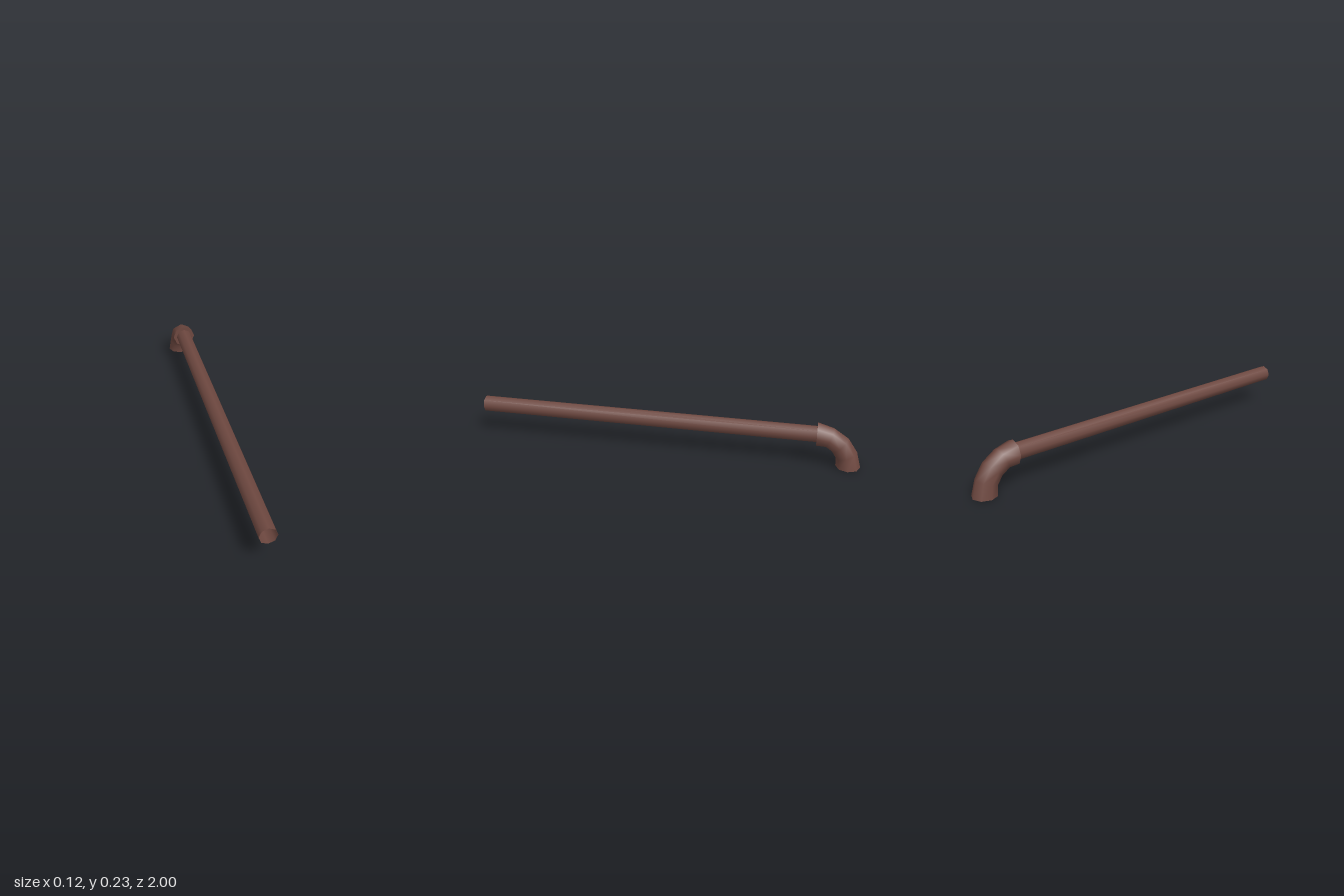
import * as THREE from 'three';

const SIDES = 8;
const BEND = { y: 0, z: -0.771, radius: 0.167 };

// Octagonal tube swept through a quarter turn, one radius per ring
function elbowGeometry(radii) {
  const pos = [], index = [];
  radii.forEach((r, i) => {
    const t = (i / (radii.length - 1)) * Math.PI / 2;
    for (let k = 0; k < SIDES; k++) {
      const a = (k / SIDES) * Math.PI * 2;
      const d = BEND.radius + r * Math.sin(a);
      pos.push(r * Math.cos(a), BEND.y + d * Math.cos(t), BEND.z - d * Math.sin(t));
      if (i < radii.length - 1) {
        const p = i * SIDES + k, q = i * SIDES + (k + 1) % SIDES;
        index.push(p, p + SIDES, q, q, p + SIDES, q + SIDES);
      }
    }
  });
  const g = new THREE.BufferGeometry();
  g.setAttribute('position', new THREE.Float32BufferAttribute(pos, 3));
  g.setIndex(index);
  g.computeVertexNormals();
  return g;
}

export function createModel() {
  const group = new THREE.Group();
  const brown = new THREE.MeshStandardMaterial({ color: 0x6e4840, side: THREE.DoubleSide });
  brown.name = 'rustBrown';
  const dark = new THREE.MeshStandardMaterial({ color: 0x29270f, side: THREE.DoubleSide });
  dark.name = 'darkOlive';

  const add = (name, geometry, material) => {
    const mesh = new THREE.Mesh(geometry, material);
    mesh.name = name;
    group.add(mesh);
    return mesh;
  };

  // Long straight pipe, open at the front
  const length = 1.775;
  add('straightPipe', new THREE.CylinderGeometry(0.043, 0.043, length, SIDES, 1, true)
    .rotateX(Math.PI / 2).translate(0, BEND.radius, 1 - length / 2), brown);

  // Elbow flared at both ends
  add('elbow', elbowGeometry([0.062, 0.055, 0.055, 0.055, 0.062]), brown);

  // Flat collar face around the pipe, with the dark bore behind it
  add('collarFace', new THREE.RingGeometry(0.036, 0.062, SIDES)
    .translate(0, BEND.radius, BEND.z), brown);
  add('collarBore', new THREE.CircleGeometry(0.037, 16)
    .translate(0, BEND.radius, BEND.z - 0.005), dark);

  // Recessed outlet underneath, with its dark bore
  const outletZ = BEND.z - BEND.radius;
  add('outletRim', new THREE.CylinderGeometry(0.036, 0.062, 0.02, SIDES, 1, true)
    .translate(0, 0.01, outletZ), brown);
  add('outletBore', new THREE.CircleGeometry(0.037, 16)
    .rotateX(Math.PI / 2).translate(0, 0.02, outletZ), dark);

  return group;
}
